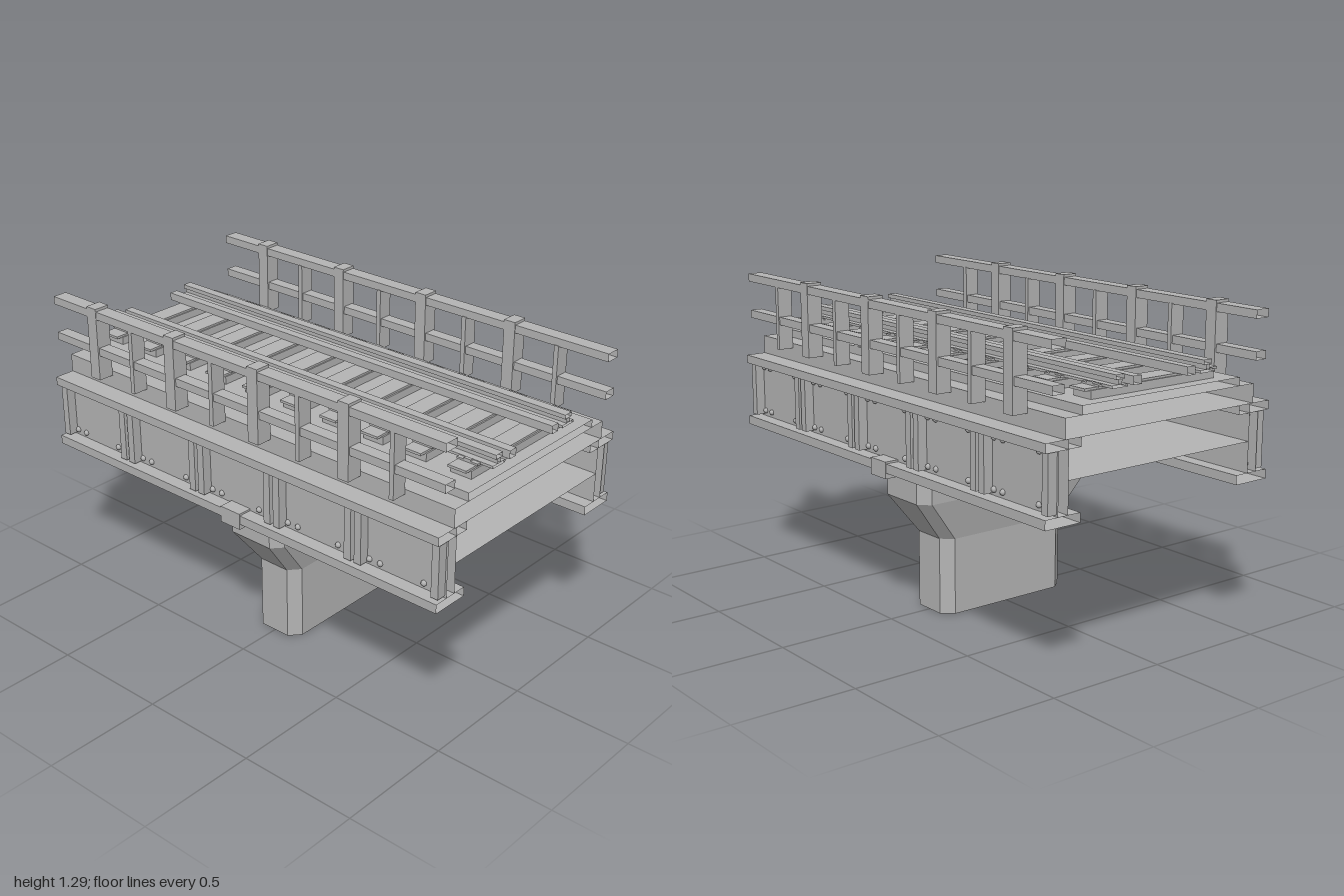
import * as THREE from 'three';

export function createModel() {
  const model = new THREE.Group();
  model.name = 'railwayBridgeSpan';
  const grey = new THREE.MeshStandardMaterial({ color: 0xb4b4b4, side: THREE.DoubleSide });
  grey.name = 'plain grey';

  const add = (parent, name, geometry) => {
    const mesh = new THREE.Mesh(geometry, grey);
    mesh.name = name;
    parent.add(mesh);
    return mesh;
  };
  const group = (name) => {
    const g = new THREE.Group();
    g.name = name;
    model.add(g);
    return g;
  };
  const box = (parent, name, x0, x1, y0, y1, z0, z1) => {
    const g = new THREE.BoxGeometry(x1 - x0, y1 - y0, z1 - z0);
    g.translate((x0 + x1) / 2, (y0 + y1) / 2, (z0 + z1) / 2);
    return add(parent, name, g);
  };
  // Full-length member, hollow and open at both ends (the +z and -z faces are dropped)
  const beam = (parent, name, x0, x1, y0, y1) => {
    const mesh = box(parent, name, x0, x1, y0, y1, -1, 1);
    const g = mesh.geometry;
    g.setIndex(Array.from(g.index.array.slice(0, 24)));
    g.clearGroups();
    return mesh;
  };
  // Span between x0 and x1 on side s (+1 or -1)
  const side = (s, x0, x1) => (s > 0 ? [x0, x1] : [-x1, -x0]);

  // Pier: chamfered rectangles lofted upward
  const sections = [
    // y, half width, flat half width, half depth, flat half depth
    [0, 0.31, 0.263, 0.11, 0.07],
    [0.315, 0.31, 0.263, 0.11, 0.07],
    [0.485, 0.44, 0.395, 0.14, 0.1],
    [0.605, 0.44, 0.395, 0.14, 0.1],
  ];
  const rings = sections.map(([y, w, fw, d, fd]) => [
    [w, y, fd], [w, y, -fd], [fw, y, -d], [-fw, y, -d],
    [-w, y, -fd], [-w, y, fd], [-fw, y, d], [fw, y, d],
  ]);
  const pos = [];
  const tri = (a, b, c) => pos.push(...a, ...b, ...c);
  for (let r = 0; r < rings.length - 1; r++) {
    for (let i = 0; i < 8; i++) {
      const j = (i + 1) % 8;
      const lo = rings[r], hi = rings[r + 1];
      tri(lo[i], lo[j], hi[j]);
      tri(lo[i], hi[j], hi[i]);
    }
  }
  for (let i = 1; i < 7; i++) {
    const top = rings[3], bottom = rings[0];
    tri(top[0], top[i], top[i + 1]);
    tri(bottom[0], bottom[i + 1], bottom[i]);
  }
  const pierGeometry = new THREE.BufferGeometry();
  pierGeometry.setAttribute('position', new THREE.Float32BufferAttribute(pos, 3));
  pierGeometry.computeVertexNormals();
  add(model, 'pier', pierGeometry);
  box(model, 'bearingBeam', -0.55, 0.55, 0.597, 0.665, -0.05, 0.05);

  // Deck layers
  const deck = group('deck');
  beam(deck, 'deckCore', -0.445, 0.445, 0.78, 0.925);
  beam(deck, 'deckSlab', -0.46, 0.46, 0.925, 1.0);
  beam(deck, 'trackBed', -0.385, 0.385, 1.0, 1.033);

  const dividers = [1, 0.6, 0.2, -0.2, -0.6, -1];
  const rivetGeometry = new THREE.SphereGeometry(0.012, 10, 6);
  for (const s of [1, -1]) {
    const label = s > 0 ? 'left' : 'right';

    // Plate girder with paired stiffeners and rivets
    const girder = group(label + 'Girder');
    beam(girder, 'bottomFlange', ...side(s, 0.388, 0.547), 0.62, 0.657);
    beam(girder, 'web', ...side(s, 0.445, 0.49), 0.657, 0.89);
    beam(girder, 'topFlange', ...side(s, 0.388, 0.547), 0.89, 0.925);
    for (const c of dividers) {
      for (const k of [-1, 1]) {
        const z = c + k * 0.024;
        if (Math.abs(z) < 1) {
          box(girder, 'stiffener', ...side(s, 0.49, 0.53), 0.665, 0.888, z - 0.016, z + 0.016);
        }
        for (const step of [0.05, 0.1]) {
          const rz = c + k * step;
          if (Math.abs(rz) > 1) continue;
          for (const y of [0.68, 0.872]) {
            add(girder, 'rivet', rivetGeometry).position.set(s * 0.491, y, rz);
          }
        }
      }
    }

    // Railing with alternating thick and thin posts
    const railing = group(label + 'Railing');
    beam(railing, 'topRail', ...side(s, 0.463, 0.525), 1.242, 1.275);
    beam(railing, 'midRail', ...side(s, 0.468, 0.52), 1.085, 1.118);
    for (let i = 0; i < 4; i++) {
      const z = 0.55 - i * 0.44;
      box(railing, 'thickPost', ...side(s, 0.46, 0.527), 0.98, 1.286, z - 0.026, z + 0.026);
      box(railing, 'thinPost', ...side(s, 0.46, 0.525), 0.98, 1.245, z + 0.21, z + 0.23);
    }

    // Running rail and inner guard rail
    const track = group(label + 'Rails');
    beam(track, 'railFoot', ...side(s, 0.178, 0.25), 1.073, 1.083);
    beam(track, 'railWeb', ...side(s, 0.206, 0.222), 1.083, 1.103);
    beam(track, 'railHead', ...side(s, 0.194, 0.234), 1.103, 1.12);
    beam(track, 'guardRail', ...side(s, 0.113, 0.15), 1.073, 1.105);
    box(track, 'deckClip', ...side(s, 0.352, 0.385), 1.03, 1.04, 0.375, 0.405);
  }

  // Sleepers with a top plate and rail chairs
  const sleepers = group('sleepers');
  for (let i = 0; i < 10; i++) {
    const z = -0.9 + i * 0.2;
    box(sleepers, 'sleeper', -0.3, 0.3, 1.03, 1.065, z - 0.046, z + 0.046);
    box(sleepers, 'sleeperTop', -0.325, 0.325, 1.063, 1.073, z - 0.04, z + 0.04);
    for (const s of [1, -1]) {
      box(sleepers, 'railChair', ...side(s, 0.157, 0.267), 1.072, 1.08, z - 0.046, z + 0.046);
      for (const x of [0.168, 0.26]) {
        box(sleepers, 'railClip', ...side(s, x - 0.007, x + 0.007), 1.079, 1.086, z - 0.015, z + 0.015);
      }
    }
  }
  return model;
}
